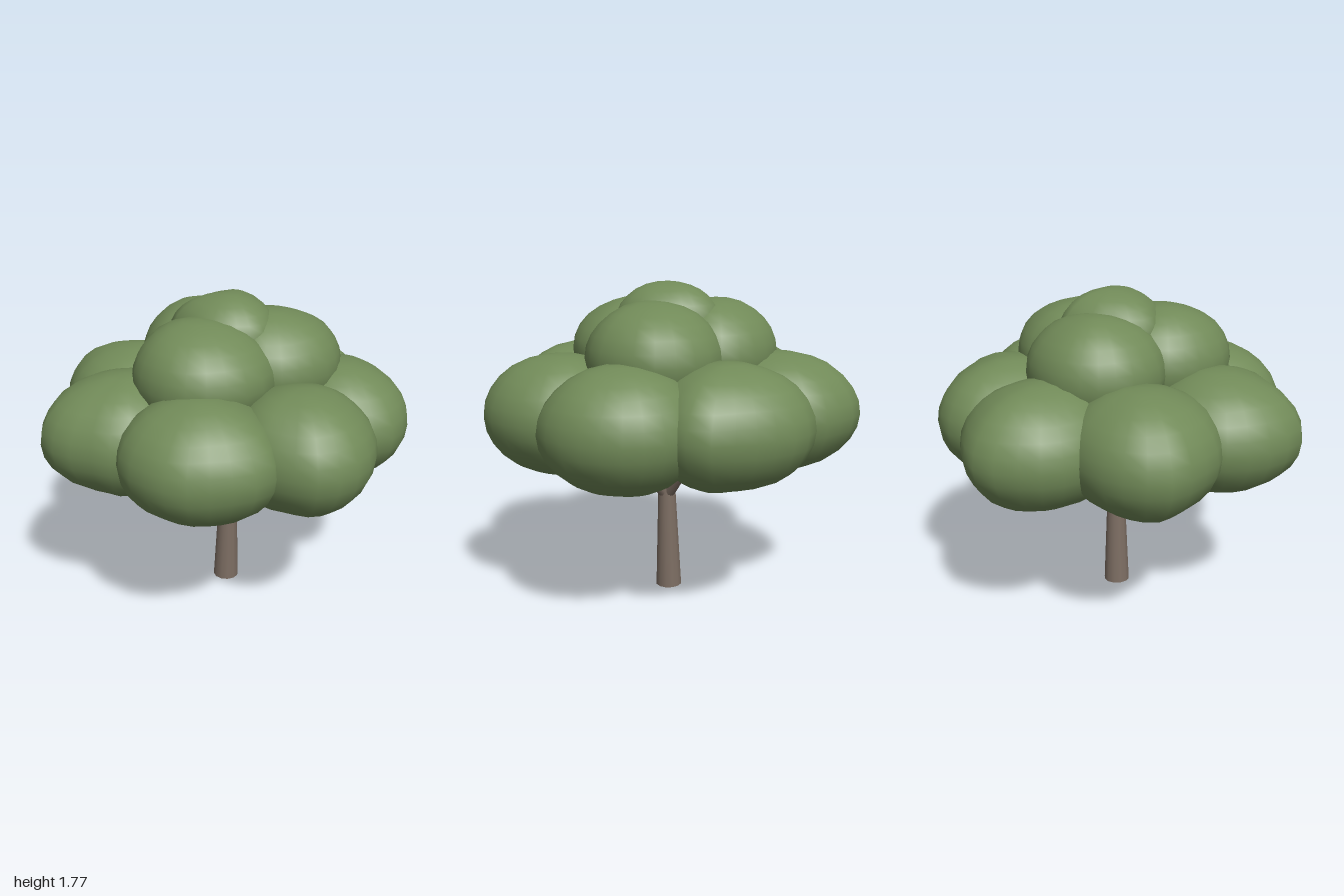
import * as THREE from 'three';
import { mergeVertices } from 'three/addons/utils/BufferGeometryUtils.js';

const leafGreen = new THREE.MeshStandardMaterial({ color: 0x718a58 });
leafGreen.name = 'leafGreen';
const barkBrown = new THREE.MeshStandardMaterial({ color: 0x7d6e63 });
barkBrown.name = 'barkBrown';

// Radius at an angle, interpolated round a rim of [x, z] points
function rimRadius(center, rim) {
  const polar = rim.map(([x, z]) => {
    const dx = x - center[0], dz = z - center[1];
    return { a: Math.atan2(dz, dx), r: Math.hypot(dx, dz) };
  }).sort((p, q) => p.a - q.a);
  const n = polar.length, turn = Math.PI * 2;
  return (angle) => {
    for (let i = 0; i < n; i++) {
      const p = polar[i], q = polar[(i + 1) % n];
      const span = (q.a - p.a + turn) % turn;
      const off = (angle - p.a + turn) % turn;
      if (off <= span) return p.r + (q.r - p.r) * off / span;
    }
    return polar[0].r;
  };
}

// Flattened lumpy sphere whose plan follows the rim
function leafClump(name, center, y, halfHeight, rim) {
  const radius = rimRadius(center, rim);
  const geo = new THREE.SphereGeometry(1, 24, 14);
  geo.deleteAttribute('uv');
  geo.deleteAttribute('normal');
  const pos = geo.attributes.position;
  for (let i = 0; i < pos.count; i++) {
    const px = pos.getX(i), py = pos.getY(i), pz = pos.getZ(i);
    const flat = Math.hypot(px, pz);
    const r = flat < 1e-4 ? 0 : flat * radius(Math.atan2(pz, px));
    const lump = 1 + 0.04 * flat * Math.sin(px * 5 + center[0] * 9) * Math.cos(pz * 5 + center[1] * 7);
    const k = flat < 1e-4 ? 0 : r / flat;
    pos.setXYZ(i, px * k, py * halfHeight * lump, pz * k);
  }
  const welded = mergeVertices(geo, 1e-4);
  welded.computeVertexNormals();
  const mesh = new THREE.Mesh(welded, leafGreen);
  mesh.name = name;
  mesh.position.set(center[0], y, center[1]);
  return mesh;
}

// Tapered limb between two points
function limb(name, from, to, r0, r1) {
  const a = new THREE.Vector3(...from), b = new THREE.Vector3(...to);
  const dir = b.clone().sub(a);
  const mesh = new THREE.Mesh(new THREE.CylinderGeometry(r1, r0, dir.length(), 12), barkBrown);
  mesh.name = name;
  mesh.position.copy(a).add(b).multiplyScalar(0.5);
  mesh.quaternion.setFromUnitVectors(new THREE.Vector3(0, 1, 0), dir.normalize());
  return mesh;
}

// Outer ring of seven clumps: centre and rim in plan
const lower = [
  { c: [-0.17, -0.6], rim: [[-0.61, -0.68], [-0.58, -0.8], [-0.44, -0.94], [-0.26, -0.99], [-0.05, -0.99], [0.14, -0.97], [0.22, -0.8], [0.22, -0.45], [-0.15, -0.22], [-0.5, -0.38]] },
  { c: [0.35, -0.52], rim: [[0.0, -0.75], [0.19, -0.89], [0.42, -0.91], [0.6, -0.83], [0.76, -0.63], [0.79, -0.51], [0.7, -0.3], [0.35, -0.13], [0.0, -0.33]] },
  { c: [0.56, -0.05], rim: [[0.5, -0.44], [0.73, -0.42], [0.81, -0.37], [0.92, -0.24], [0.99, -0.05], [0.95, 0.15], [0.77, 0.27], [0.52, 0.33], [0.2, 0.1], [0.2, -0.2]] },
  { c: [0.33, 0.41], rim: [[0.66, 0.15], [0.77, 0.27], [0.78, 0.4], [0.71, 0.58], [0.6, 0.75], [0.42, 0.82], [0.22, 0.83], [0.05, 0.73], [-0.05, 0.4], [0.3, 0.02]] },
  { c: [-0.17, 0.52], rim: [[-0.6, 0.58], [-0.54, 0.76], [-0.45, 0.88], [-0.28, 0.99], [-0.07, 0.95], [0.0, 0.89], [0.14, 0.82], [0.22, 0.5], [-0.1, 0.13], [-0.5, 0.28]] },
  { c: [-0.57, 0.2], rim: [[-0.3, 0.53], [-0.59, 0.61], [-0.65, 0.61], [-0.8, 0.54], [-0.98, 0.4], [-0.99, 0.2], [-0.88, -0.02], [-0.6, -0.2], [-0.2, 0.05]] },
  { c: [-0.57, -0.3], rim: [[-0.3, -0.58], [-0.53, -0.7], [-0.66, -0.72], [-0.8, -0.66], [-0.99, -0.51], [-1.0, -0.3], [-0.97, -0.17], [-0.85, -0.02], [-0.57, 0.1], [-0.19, -0.15]] },
];

// Middle tier of three clumps
const middle = [
  { c: [0.11, -0.23], rim: [[-0.23, -0.38], [-0.17, -0.51], [0, -0.62], [0.19, -0.65], [0.39, -0.5], [0.47, -0.35], [0.47, -0.21], [0.4, -0.01], [0.11, 0.14], [-0.23, -0.1]] },
  { c: [-0.29, -0.09], rim: [[-0.18, -0.48], [-0.4, -0.44], [-0.55, -0.32], [-0.64, -0.11], [-0.6, 0.08], [-0.48, 0.21], [-0.3, 0.28], [-0.05, 0.15], [0.06, -0.1]] },
  { c: [0.03, 0.2], rim: [[-0.32, 0.25], [-0.21, 0.44], [-0.05, 0.55], [0.14, 0.56], [0.3, 0.5], [0.43, 0.31], [0.45, 0.13], [0.4, -0.02], [0.03, -0.16], [-0.28, 0.0]] },
];

// Single clump on top
const crown = { c: [-0.03, -0.06], rim: [[-0.25, -0.24], [-0.25, -0.3], [-0.1, -0.33], [0.07, -0.29], [0.2, -0.2], [0.27, -0.05], [0.23, 0.05], [0.14, 0.16], [-0.08, 0.21], [-0.25, 0.19], [-0.29, 0.0]] };

export function createModel() {
  const tree = new THREE.Group();
  tree.name = 'tree';

  // Trunk and four forking branches
  const fork = [-0.025, 0.6, -0.05];
  tree.add(limb('trunk', [-0.04, 0, -0.045], fork, 0.075, 0.05));
  for (let i = 0; i < 4; i++) {
    const a = 0.36 + i * Math.PI / 2, c = Math.cos(a), s = -Math.sin(a);
    tree.add(limb('branch' + (i + 1),
      [fork[0] + c * 0.02, 0.57, fork[2] + s * 0.02],
      [fork[0] + c * 0.29, 0.9, fork[2] + s * 0.29], 0.033, 0.024));
  }

  // Foliage
  const foliage = new THREE.Group();
  foliage.name = 'foliage';
  lower.forEach((b, i) => foliage.add(leafClump('lowerClump' + (i + 1), b.c, 1.07, 0.33, b.rim)));
  middle.forEach((b, i) => foliage.add(leafClump('middleClump' + (i + 1), b.c, 1.38, 0.3, b.rim)));
  foliage.add(leafClump('crownClump', crown.c, 1.56, 0.21, crown.rim));
  tree.add(foliage);
  return tree;
}
